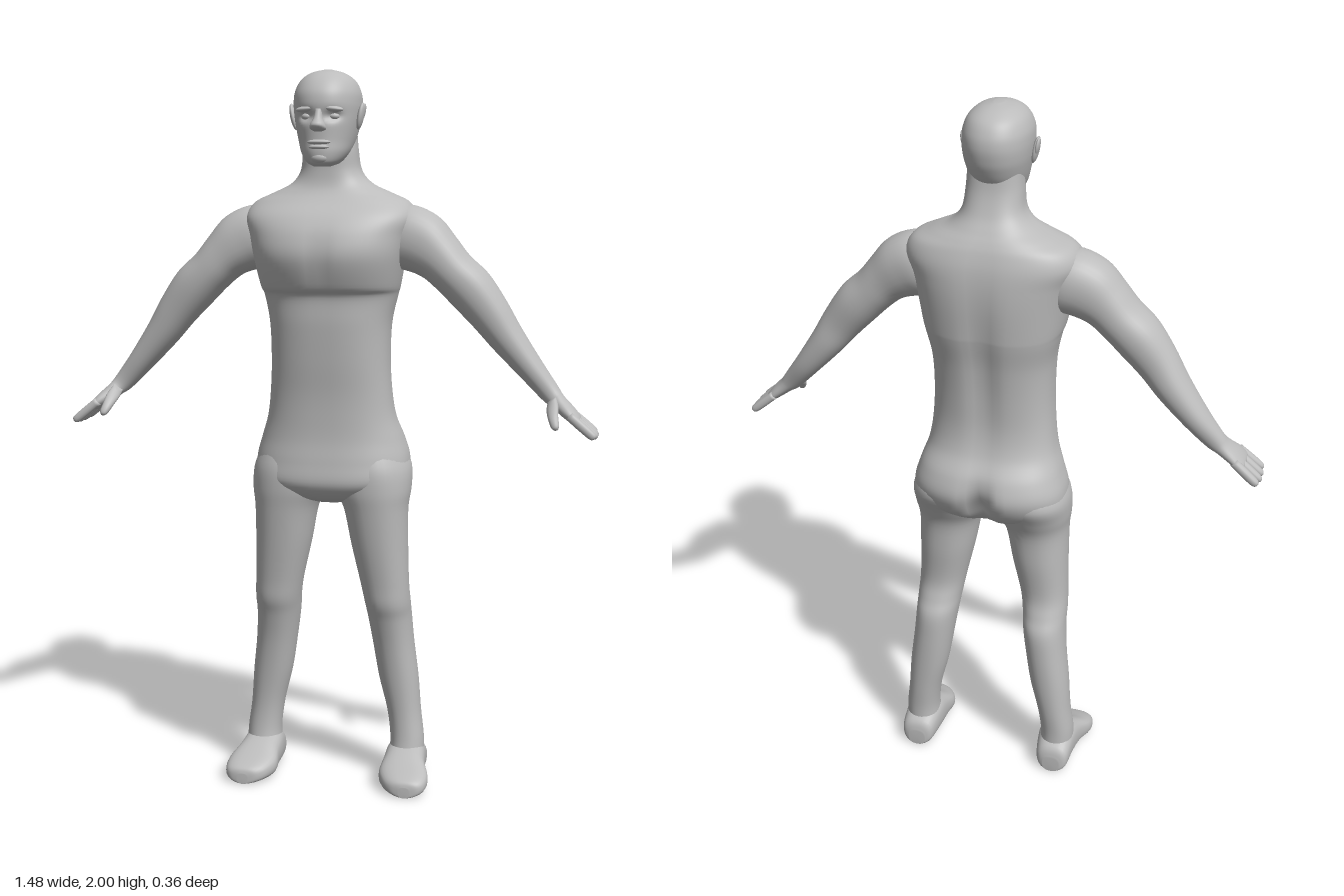
import * as THREE from 'three';

const skin = new THREE.MeshStandardMaterial({ color: 0xbcbcbc });
skin.name = 'grey skin';

// Catmull-Rom blend of four numbers
const blend = (a, b, c, d, t) =>
  0.5 * (2 * b + (c - a) * t + (2 * a - 5 * b + 4 * c - d) * t * t + (3 * b - a - 3 * c + d) * t * t * t);
const bump = (d, w) => Math.exp(-(d * d) / (w * w));
const power = (v, n) => Math.sign(v) * Math.abs(v) ** (2 / n);

// Closed smooth skin over cross-sections; place(row, cos, sin) gives a point
function loft(rows, place, segs = 32, steps = 5, n = 2.2) {
  const pos = [], idx = [], rings = (rows.length - 1) * steps + 1;
  const at = (i) => rows[Math.min(Math.max(i, 0), rows.length - 1)];
  for (let r = 0; r < rings; r++) {
    const k = Math.min(Math.floor(r / steps), rows.length - 2), t = r / steps - k;
    const row = at(k).map((_, f) => blend(at(k - 1)[f], at(k)[f], at(k + 1)[f], at(k + 2)[f], t));
    for (let s = 0; s < segs; s++) {
      const a = (s / segs) * Math.PI * 2;
      pos.push(...place(row, power(Math.cos(a), n), power(Math.sin(a), n)));
    }
  }
  for (let r = 0; r < rings - 1; r++) {
    for (let s = 0; s < segs; s++) {
      const a = r * segs + s, b = r * segs + (s + 1) % segs;
      idx.push(a, a + segs, b, b, a + segs, b + segs);
    }
  }
  // end caps
  for (const [start, flip] of [[0, false], [(rings - 1) * segs, true]]) {
    const mid = [0, 0, 0], c = pos.length / 3;
    for (let s = 0; s < segs; s++) for (let f = 0; f < 3; f++) mid[f] += pos[(start + s) * 3 + f] / segs;
    pos.push(...mid);
    for (let s = 0; s < segs; s++) {
      const a = start + s, b = start + (s + 1) % segs;
      idx.push(c, flip ? b : a, flip ? a : b);
    }
  }
  const g = new THREE.BufferGeometry();
  g.setAttribute('position', new THREE.Float32BufferAttribute(pos, 3));
  g.setIndex(idx);
  g.computeVertexNormals();
  return g;
}

// Row: y, centre x, half width, front z, back z
const upright = ([y, cx, hw, zf, zb], c, s) => [cx + c * hw, y, (zf + zb) / 2 + s * (zf - zb) / 2];
// Row: x, y, angle of the upper side, thickness, centre z, half depth
const sloping = ([x, y, deg, r, cz, rz], c, s) => {
  const a = THREE.MathUtils.degToRad(deg);
  return [x + Math.cos(a) * c * r, y + Math.sin(a) * c * r, cz - s * rz];
};
// Row: z, centre x, half width, height above the ground
const lying = ([z, cx, hw, h], c, s) => [cx + c * hw, h / 2 - (s * h) / 2, z];

function ellipsoid(x, y, z, rx, ry, rz, turn = 0) {
  return new THREE.SphereGeometry(1, 24, 16).scale(rx, ry, rz).rotateZ(turn).translate(x, y, z);
}

function mirrored(geo) {
  const g = geo.clone(), p = g.attributes.position, i = g.index.array;
  for (let k = 0; k < p.count; k++) p.setX(k, -p.getX(k));
  for (let k = 0; k < i.length; k += 3) [i[k + 1], i[k + 2]] = [i[k + 2], i[k + 1]];
  g.computeVertexNormals();
  return g;
}

export function createModel() {
  const model = new THREE.Group();
  model.name = 'standing figure';
  const add = (name, geo) => {
    const m = new THREE.Mesh(geo, skin);
    m.name = name;
    model.add(m);
  };
  const pair = (name, geo) => {
    add('left ' + name, geo);
    add('right ' + name, mirrored(geo));
  };

  // Torso and neck, with spine furrow, seat cleft and chest furrow
  const torso = [
    [0.82, 0, 0.05, 0.05, -0.05], [0.84, 0, 0.13, 0.095, -0.10], [0.88, 0, 0.21, 0.125, -0.15],
    [0.94, 0, 0.216, 0.122, -0.178], [1.0, 0, 0.2, 0.115, -0.165], [1.06, 0, 0.18, 0.114, -0.13],
    [1.13, 0, 0.17, 0.117, -0.115], [1.22, 0, 0.165, 0.127, -0.117], [1.32, 0, 0.168, 0.136, -0.128],
    [1.395, 0, 0.183, 0.14, -0.142], [1.425, 0, 0.192, 0.162, -0.146], [1.5, 0, 0.207, 0.187, -0.151],
    [1.56, 0, 0.22, 0.178, -0.15], [1.61, 0, 0.235, 0.15, -0.143], [1.65, 0, 0.215, 0.11, -0.13],
    [1.675, 0, 0.165, 0.09, -0.117], [1.7, 0, 0.112, 0.08, -0.1], [1.735, 0, 0.083, 0.076, -0.078],
    [1.79, 0, 0.075, 0.075, -0.058], [1.85, 0, 0.07, 0.06, -0.05],
  ];
  add('torso', loft(torso, (row, c, s) => {
    const p = upright(row, c, s), [x, y] = p;
    if (s < 0) p[2] -= s * (0.016 * bump(x, 0.035) * bump(y - 1.32, 0.25) + 0.045 * bump(x, 0.03) * bump(y - 0.91, 0.07));
    else p[2] -= s * 0.008 * bump(x, 0.025) * bump(y - 1.5, 0.07);
    return p;
  }, 64, 6, 2.5));

  // Head with eye sockets
  const head = [
    [1.744, 0, 0.022, 0.14, 0.085], [1.755, 0, 0.044, 0.152, 0.035], [1.78, 0, 0.062, 0.157, -0.01],
    [1.81, 0, 0.073, 0.156, -0.05], [1.85, 0, 0.083, 0.158, -0.073], [1.88, 0, 0.088, 0.159, -0.082],
    [1.91, 0, 0.09, 0.161, -0.085], [1.94, 0, 0.087, 0.154, -0.079], [1.97, 0, 0.073, 0.132, -0.06],
    [1.99, 0, 0.047, 0.1, -0.025], [2.0, 0, 0.012, 0.055, 0.018],
  ];
  add('head', loft(head, (row, c, s) => {
    const p = upright(row, c, s);
    if (s > 0) p[2] -= 0.016 * bump(Math.abs(p[0]) - 0.036, 0.02) * bump(p[1] - 1.873, 0.013);
    return p;
  }, 64, 6));
  add('nose', loft([
    [1.833, 0, 0.01, 0.163, 0.14], [1.839, 0, 0.021, 0.178, 0.14], [1.85, 0, 0.02, 0.187, 0.14],
    [1.868, 0, 0.012, 0.174, 0.14], [1.892, 0, 0.009, 0.162, 0.14],
  ], upright, 20, 4));
  add('upper lip', ellipsoid(0, 1.806, 0.15, 0.032, 0.007, 0.015));
  add('lower lip', ellipsoid(0, 1.793, 0.149, 0.028, 0.007, 0.015));
  add('chin', ellipsoid(0, 1.765, 0.14, 0.026, 0.016, 0.018));
  pair('brow', ellipsoid(0.035, 1.892, 0.143, 0.03, 0.008, 0.016, -0.1));
  pair('eye', ellipsoid(0.036, 1.873, 0.129, 0.016, 0.01, 0.014));
  pair('ear', ellipsoid(0.092, 1.877, 0.055, 0.009, 0.036, 0.02, -0.2));
  pair('earlobe rim', ellipsoid(0.098, 1.888, 0.048, 0.006, 0.023, 0.014, -0.2));

  // Arm from shoulder to wrist, then the palm
  pair('arm', loft([
    [0.13, 1.565, 80, 0.06, 0, 0.06], [0.19, 1.56, 72, 0.088, 0, 0.08], [0.25, 1.54, 58, 0.086, 0.005, 0.08],
    [0.3, 1.503, 48, 0.07, 0.01, 0.076], [0.34, 1.463, 45, 0.063, 0.012, 0.075], [0.39, 1.415, 43, 0.064, 0.012, 0.072],
    [0.443, 1.35, 39, 0.056, 0.012, 0.062], [0.49, 1.285, 38, 0.047, 0.008, 0.057], [0.553, 1.207, 42, 0.036, 0.008, 0.046],
    [0.607, 1.143, 44, 0.028, 0.015, 0.031], [0.63, 1.12, 44, 0.022, 0.025, 0.036], [0.66, 1.094, 44, 0.019, 0.037, 0.048],
    [0.682, 1.074, 44, 0.014, 0.041, 0.052], [0.69, 1.067, 44, 0.006, 0.041, 0.045],
  ], sloping, 32, 5));
  // Fingers: z at the knuckle, z at the tip, reach
  [[-0.001, -0.007, 0.93], [0.027, 0.025, 1], [0.055, 0.058, 1], [0.082, 0.09, 0.95]].forEach(([z0, z1, reach], i) => {
    const row = (t, r) => [0.665 + 0.073 * t * reach, 1.089 - 0.06 * t * reach, 48, r, z0 + (z1 - z0) * t, r];
    pair('finger ' + (i + 1), loft([row(0, 0.012), row(0.5, 0.0125), row(0.9, 0.011), row(1, 0.004)], sloping, 14, 4));
  });
  pair('thumb', loft([
    [0.615, 1.128, 40, 0.014, 0.045, 0.02], [0.62, 1.108, 25, 0.017, 0.075, 0.022],
    [0.625, 1.085, 20, 0.014, 0.105, 0.016], [0.632, 1.065, 20, 0.011, 0.12, 0.012],
    [0.636, 1.056, 20, 0.004, 0.123, 0.004],
  ], sloping, 16, 4));

  // Leg from hip to ankle
  pair('leg', loft([
    [0.06, 0.212, 0.05, 0.015, -0.108], [0.12, 0.213, 0.048, 0.004, -0.108], [0.2, 0.203, 0.048, 0.001, -0.114],
    [0.3, 0.187, 0.056, 0.01, -0.119], [0.4, 0.173, 0.058, 0.025, -0.121], [0.48, 0.164, 0.061, 0.045, -0.118],
    [0.53, 0.16, 0.064, 0.062, -0.098], [0.59, 0.153, 0.068, 0.07, -0.083], [0.7, 0.139, 0.079, 0.087, -0.093],
    [0.8, 0.129, 0.089, 0.101, -0.101], [0.86, 0.119, 0.106, 0.109, -0.126], [0.92, 0.114, 0.108, 0.108, -0.155],
    [0.98, 0.11, 0.085, 0.09, -0.14],
  ], upright, 36, 5));

  // Foot from heel to toe
  pair('foot', loft([
    [-0.13, 0.214, 0.025, 0.05], [-0.115, 0.214, 0.047, 0.085], [-0.05, 0.212, 0.056, 0.115],
    [0.01, 0.215, 0.061, 0.1], [0.06, 0.222, 0.071, 0.074], [0.1, 0.23, 0.06, 0.056],
    [0.12, 0.234, 0.04, 0.044], [0.126, 0.235, 0.015, 0.03],
  ], lying, 28, 5, 2.6));

  return model;
}
